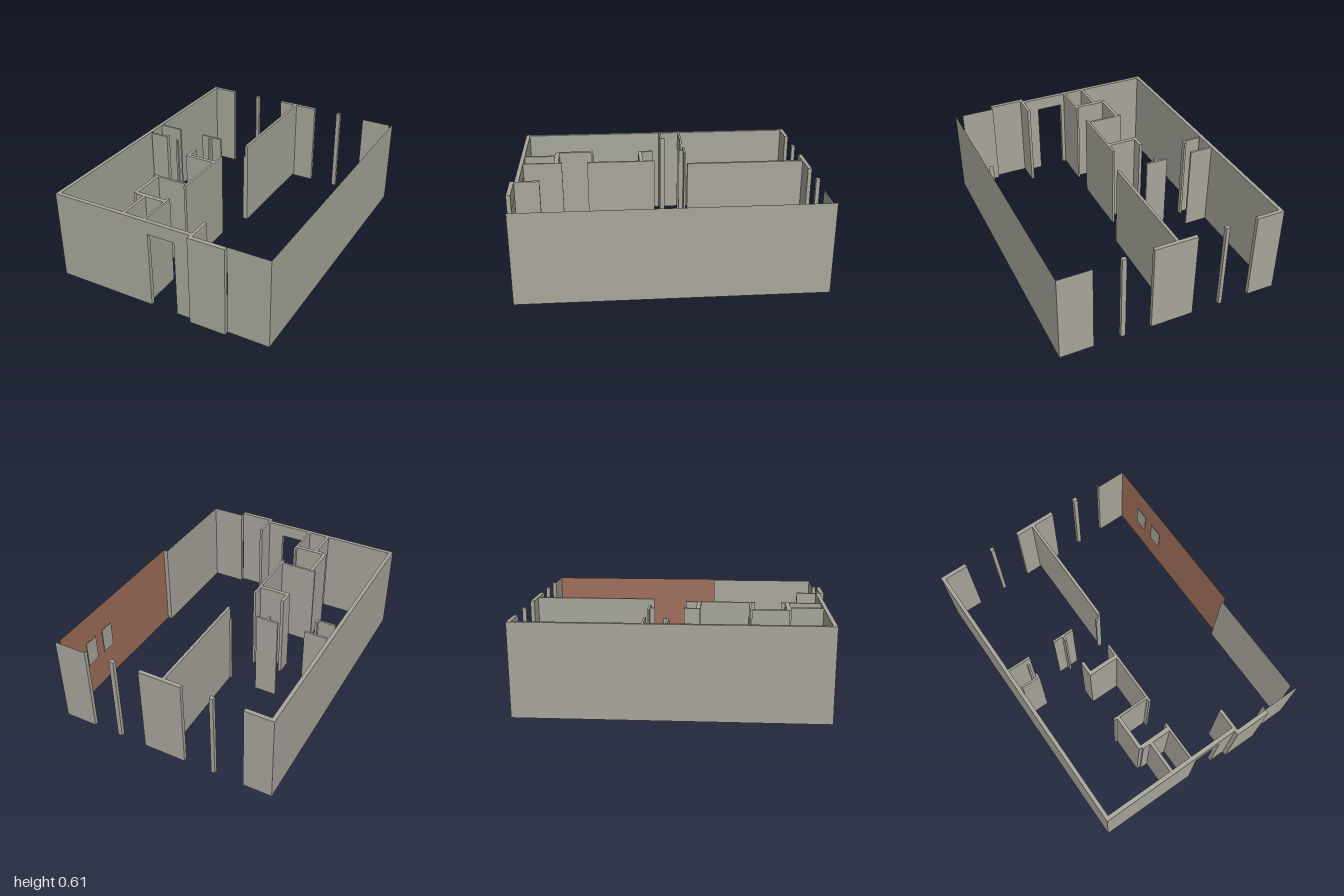
import * as THREE from 'three';

const H = 0.608; // wall height

export function createModel() {
  const model = new THREE.Group();
  model.name = 'floorPlanWalls';
  const plaster = new THREE.MeshStandardMaterial({ color: 0xa8a69b });
  plaster.name = 'warm grey plaster';
  const brown = new THREE.MeshStandardMaterial({ color: 0xa06f5a });
  brown.name = 'brown accent wall';

  // Upright block given by its plan rectangle and its bottom and top heights
  function wall(name, x0, x1, z0, z1, y0 = 0, y1 = H) {
    const mesh = new THREE.Mesh(new THREE.BoxGeometry(x1 - x0, y1 - y0, z1 - z0), plaster);
    mesh.position.set((x0 + x1) / 2, (y0 + y1) / 2, (z0 + z1) / 2);
    mesh.name = name;
    model.add(mesh);
  }

  // Outer walls, with a doorway in the front one
  wall('leftWall', -0.75, -0.725, -1, 0.97);
  wall('frontWallLeft', -0.725, -0.07, 0.943, 0.97);
  wall('doorLintel', -0.07, 0.115, 0.943, 0.97, 0.52, H);
  wall('frontWallMiddle', 0.115, 0.228, 0.943, 0.97);
  wall('entryBay', 0.225, 0.47, 0.972, 1);
  wall('entryReturn', 0.225, 0.245, 0.81, 0.972);

  // Back wall pieces and window posts
  wall('backWallLeft', -0.725, -0.56, -1, -0.974);
  wall('backWallMiddle', -0.15, 0.138, -1, -0.974);
  wall('backPostLeft', -0.365, -0.34, -1, -0.974);
  wall('backPostRight', 0.315, 0.345, -1, -0.974);

  // Dividing wall
  wall('dividingWall', -0.033, -0.014, -0.974, -0.175, 0.015);
  wall('dividingWallEnd', -0.047, -0.014, -0.188, -0.175, 0.015, 0.52);

  // Partitions as plan rectangles: x0, x1, z0, z1
  const partitions = [
    [-0.725, -0.565, -0.19, -0.176], [-0.38, -0.23, -0.19, -0.176],
    [-0.313, -0.3, -0.176, -0.145], [-0.715, -0.585, -0.045, -0.031],
    [-0.6, -0.585, -0.065, -0.045],
    [-0.313, -0.292, 0.045, 0.148], [-0.292, -0.106, 0.122, 0.148],
    [-0.106, -0.09, 0.045, 0.507], [-0.353, -0.106, 0.467, 0.482],
    [-0.335, -0.312, 0.482, 0.722], [-0.312, -0.106, 0.704, 0.733],
    [-0.26, -0.24, 0.733, 0.943], [-0.11, -0.095, 0.68, 0.943],
  ];
  partitions.forEach((p) => wall('partition', ...p));
  wall('doorJamb', -0.6, -0.585, -0.176, -0.162, 0, 0.52);

  // Right wall: uncapped shell following its plan outline, one brown inner face
  const outline = [
    [0.47, 0.97], [0.747, 0.97], [0.747, -1], [0.525, -1], [0.525, -0.974],
    [0.73, -0.974], [0.73, 0.22], [0.7, 0.22], [0.7, 0.943], [0.47, 0.943],
  ];
  const shell = new THREE.Group();
  shell.name = 'rightWall';
  outline.forEach(([ax, az], i) => {
    const [bx, bz] = outline[(i + 1) % outline.length];
    const accent = i === 5;
    const face = new THREE.Mesh(
      new THREE.PlaneGeometry(Math.hypot(bx - ax, bz - az), H), accent ? brown : plaster);
    face.position.set((ax + bx) / 2, H / 2, (az + bz) / 2);
    face.rotation.y = Math.atan2(az - bz, bx - ax);
    face.name = accent ? 'accentPanel' : 'rightWallFace';
    shell.add(face);
  });
  model.add(shell);

  // Thin plates in front of the accent panel
  for (const z of [-0.76, -0.59]) wall('wallPlate', 0.714, 0.717, z, z + 0.1, 0.25, 0.43);

  return model;
}
